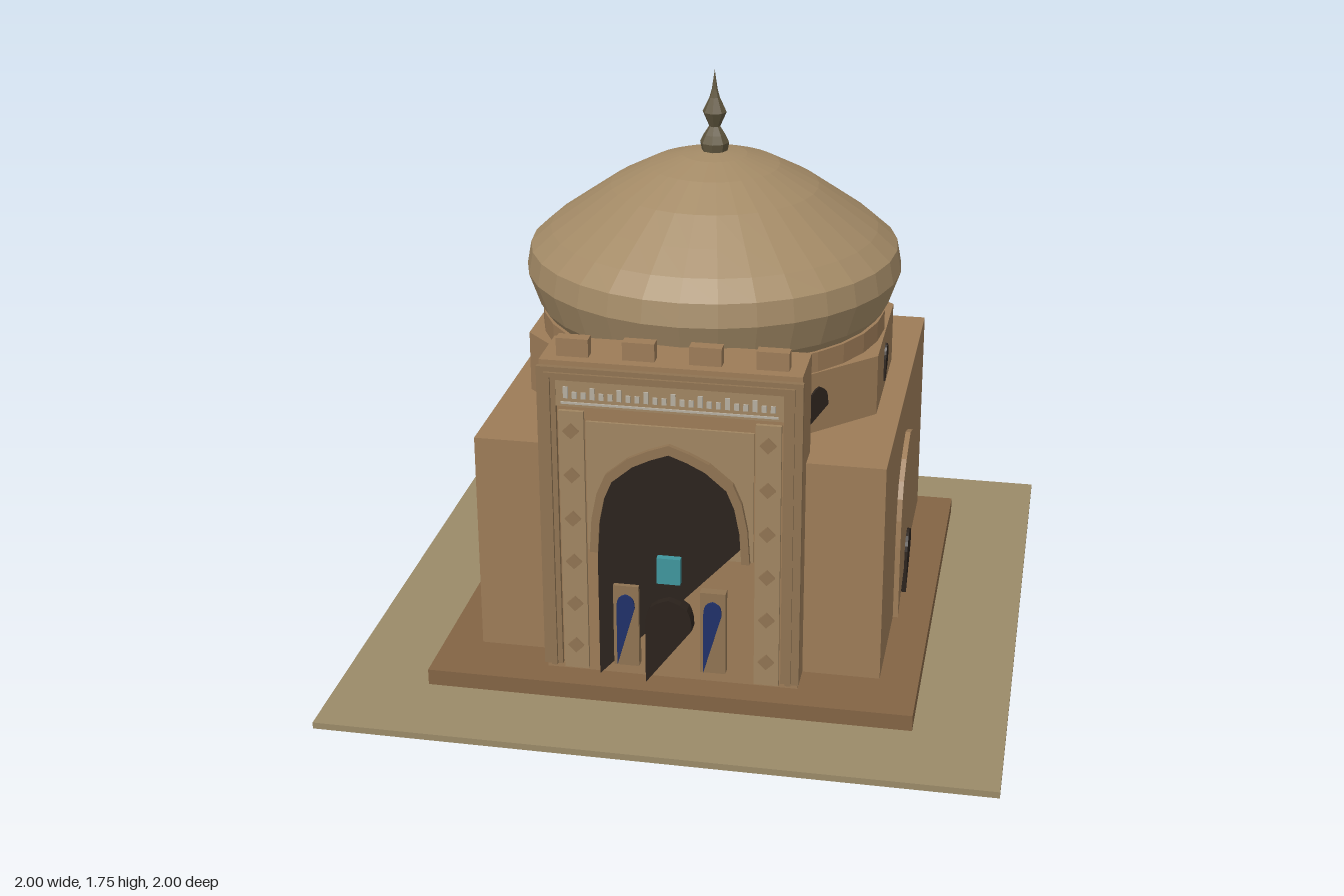
import * as THREE from 'three';

const mat = (color) => new THREE.MeshStandardMaterial({ color, flatShading: true, roughness: 0.9 });
const M = {
  ground: mat(0x9a8a68), plinth: mat(0x836444), wall: mat(0x9c7b57), trim: mat(0x8f7352),
  panel: mat(0xa08561), dome: mat(0xa38a66), dark: mat(0x2b221c), blue: mat(0x1f3068),
  teal: mat(0x3f959c), pale: mat(0xb5aea0), finial: mat(0x61573f),
};
const CZ = -0.075; // centre of hall, drum and dome in z

function add(parent, name, geometry, material, x = 0, y = 0, z = 0) {
  const mesh = new THREE.Mesh(geometry, material);
  mesh.name = name;
  mesh.position.set(x, y, z);
  parent.add(mesh);
  return mesh;
}

// Box given by its limits
function box(parent, name, material, x0, x1, y0, y1, z0, z1) {
  return add(parent, name, new THREE.BoxGeometry(x1 - x0, y1 - y0, z1 - z0), material,
    (x0 + x1) / 2, (y0 + y1) / 2, (z0 + z1) / 2);
}

// Pointed arch curve, from right springing over the apex to left springing
const ARCH = [[1, 0], [0.97, 0.3], [0.9, 0.53], [0.79, 0.7], [0.5, 0.86], [0.25, 0.94], [0, 1]];
function archPoints(w, spring, apex) {
  const half = ARCH.map(([u, v]) => new THREE.Vector2(u * w, spring + v * (apex - spring)));
  const left = half.slice(0, -1).reverse().map((p) => new THREE.Vector2(-p.x, p.y));
  return [...half, ...left];
}
const extrude = (shape, depth) => new THREE.ExtrudeGeometry(shape, { depth, bevelEnabled: false });

// Arched plate whose lower edge runs from the bottom left to the right springing
function archPlate(parent, name, material, x, w, base, spring, apex, z, depth) {
  const shape = new THREE.Shape([...archPoints(w, spring, apex), new THREE.Vector2(-w, base)]);
  return add(parent, name, extrude(shape, depth), material, x, 0, z);
}

// Group turned about the hall's axis, so its local +z is the outward direction
function face(parent, name, angle) {
  const g = new THREE.Group();
  g.name = name;
  g.position.z = CZ;
  g.rotation.y = angle;
  parent.add(g);
  return g;
}

function buildPortal(root) {
  const p = new THREE.Group();
  p.name = 'portal';
  root.add(p);
  const F = 0.64; // front plane
  box(p, 'portalBlock', M.wall, -0.38, 0.38, 0.07, 1.07, 0.455, F);
  for (const x of [-0.29, -0.097, 0.097, 0.29])
    box(p, 'merlon', M.wall, x - 0.047, x + 0.047, 1.07, 1.125, 0.568, 0.606);

  // Nested frame mouldings
  [[0.385, 0.362, 1.055, 0.016], [0.362, 0.345, 1.04, 0.024], [0.345, 0.33, 1.03, 0.014]]
    .forEach(([outer, inner, top, depth]) => {
      for (const s of [-1, 1]) {
        const a = s * outer, b = s * inner;
        box(p, 'frameJamb', M.trim, Math.min(a, b), Math.max(a, b), 0.09, top, F, F + depth);
      }
      box(p, 'frameHead', M.trim, -inner, inner, top - 0.015, top, F, F + depth);
    });

  // Side pilaster strips with diamond studs
  for (const s of [-1, 1]) {
    box(p, 'pilasterStrip', M.panel, s * 0.287 - 0.037, s * 0.287 + 0.037, 0.08, 0.92, F, F + 0.012);
    for (let i = 0; i < 6; i++) {
      const d = add(p, 'diamondStud', new THREE.BoxGeometry(0.034, 0.034, 0.012), M.trim,
        s * 0.287, 0.16 + i * 0.14, F + 0.015);
      d.rotation.z = Math.PI / 4;
    }
  }

  // Frieze with a row of pale studs
  box(p, 'friezeBand', M.panel, -0.33, 0.33, 0.935, 1.02, F, F + 0.012);
  box(p, 'friezeLine', M.pale, -0.315, 0.315, 0.944, 0.95, F, F + 0.017);
  for (let i = 0; i < 24; i++) {
    const x = -0.3 + i * 0.6 / 23, h = i % 3 === 0 ? 0.035 : 0.02;
    box(p, 'friezeStud', M.pale, x - 0.007, x + 0.007, 0.962, 0.962 + h, F + 0.01, F + 0.017);
  }

  // Spandrel panel, arch moulding and dark recess
  box(p, 'spandrelPanel', M.panel, -0.245, 0.245, 0.48, 0.89, F, F + 0.008);
  const ring = [...archPoints(0.237, 0.48, 0.84), ...archPoints(0.213, 0.48, 0.81).reverse()];
  add(p, 'archMoulding', extrude(new THREE.Shape(ring), 0.018), M.trim, 0, 0, F + 0.006);
  archPlate(p, 'archRecess', M.dark, 0, 0.215, 0.07, 0.53, 0.81, F, 0.016);

  // Door, niches and plaque inside the arch
  archPlate(p, 'door', M.dark, 0, 0.07, 0.07, 0.257, 0.35, F, 0.042);
  for (const x of [-0.13, 0.13]) {
    box(p, 'nichePanel', M.trim, x - 0.038, x + 0.038, 0.115, 0.38, F, F + 0.03);
    archPlate(p, 'nicheInlay', M.blue, x, 0.027, 0.118, 0.31, 0.353, F, 0.037);
  }
  box(p, 'plaque', M.teal, -0.035, 0.035, 0.402, 0.485, F, F + 0.038);
}

export function createModel() {
  const root = new THREE.Group();
  root.name = 'domedTomb';

  // Ground, plinth and hall
  box(root, 'ground', M.ground, -1, 1, 0, 0.02, -1, 1);
  box(root, 'plinth', M.plinth, -0.73, 0.73, 0.02, 0.07, -0.73, 0.73);
  box(root, 'hall', M.wall, -0.613, 0.613, 0.07, 0.76, -0.69, 0.538);

  // Blind arch and window on the sides and back
  ['leftWall', 'backWall', 'rightWall'].forEach((name, i) => {
    const g = face(root, name, (i + 1) * Math.PI / 2);
    archPlate(g, 'blindArch', M.wall, 0, 0.23, 0.07, 0.315, 0.607, 0.61, 0.019);
    archPlate(g, 'lowWindow', M.dark, 0, 0.06, 0.07, 0.19, 0.267, 0.61, 0.028);
  });

  // Octagonal drum with a window on every face
  const drum = add(root, 'drum', new THREE.CylinderGeometry(0.585, 0.585, 0.19, 8), M.wall, 0, 0.855, CZ);
  drum.rotation.y = Math.PI / 8;
  for (let i = 0; i < 8; i++)
    archPlate(face(root, 'drumFace', i * Math.PI / 4), 'drumWindow', M.dark, 0, 0.033, 0.79, 0.842, 0.905, 0.535, 0.012);
  add(root, 'drumRing', new THREE.CylinderGeometry(0.535, 0.535, 0.065, 32), M.wall, 0, 0.98, CZ);

  // Bulging dome
  const lathe = (pts, n) => new THREE.LatheGeometry(pts.map(([x, y]) => new THREE.Vector2(x, y)), n);
  add(root, 'dome', lathe([[0, 1.0], [0.515, 1.0], [0.545, 1.04], [0.58, 1.14], [0.567, 1.21],
    [0.505, 1.265], [0.42, 1.325], [0.32, 1.395], [0.2, 1.458], [0.1, 1.49], [0, 1.505]], 32), M.dome, 0, 0, CZ);

  // Finial
  add(root, 'finial', lathe([[0, 1.495], [0.04, 1.5], [0.045, 1.525], [0.033, 1.55], [0.017, 1.575],
    [0.037, 1.62], [0.016, 1.665], [0.009, 1.69], [0, 1.75]], 8), M.finial, 0, 0, CZ);

  buildPortal(root);
  return root;
}
